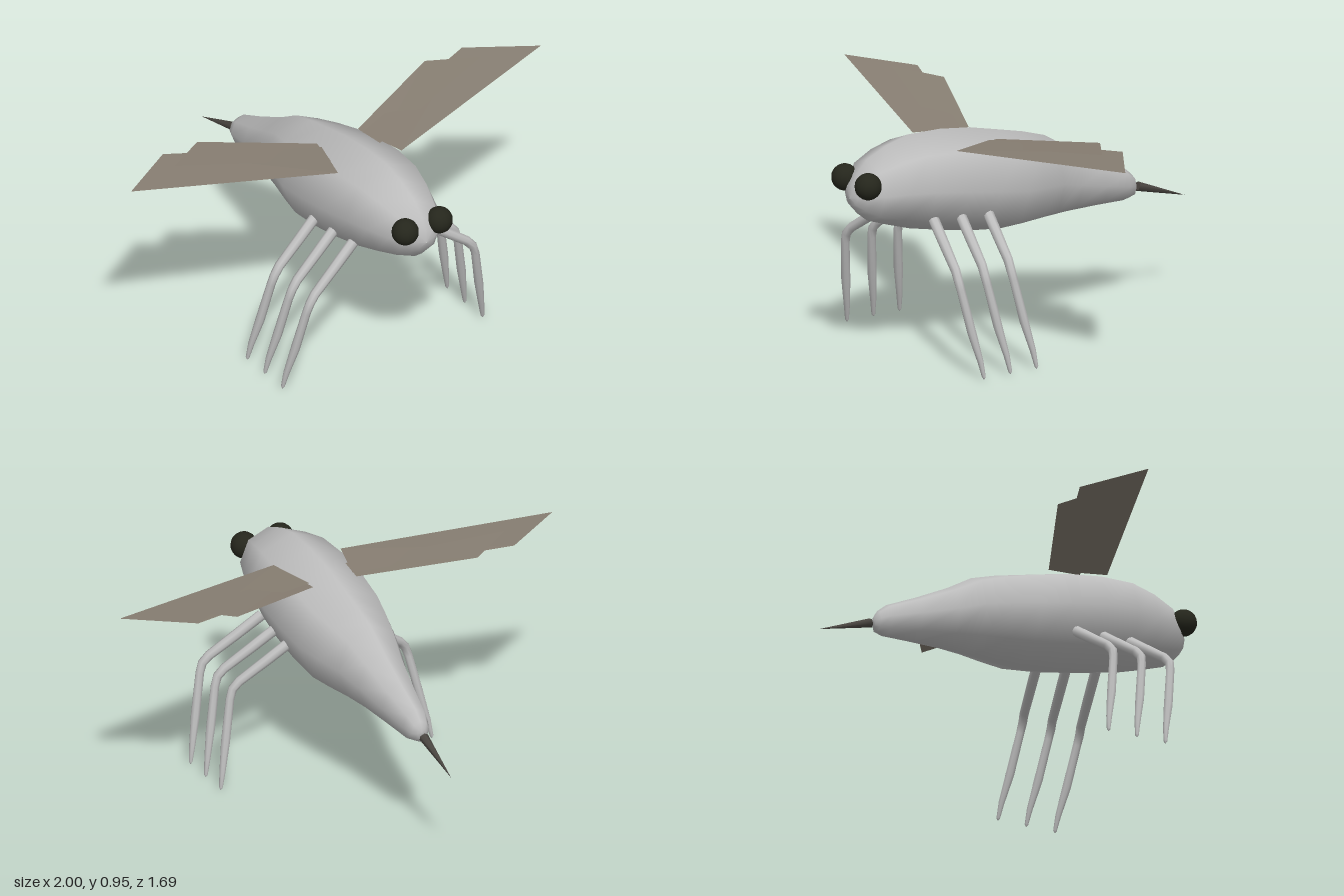
import * as THREE from 'three';

const V = (x, y, z) => new THREE.Vector3(x, y, z);
const mat = (name, color, side = THREE.FrontSide) => {
  const m = new THREE.MeshStandardMaterial({ color, side });
  m.name = name;
  return m;
};

// Smooth skin over a list of rings, each an array of points counter-clockwise about the direction of travel
function loft(rings) {
  const n = rings[0].length, index = [];
  for (let i = 0; i < rings.length - 1; i++) {
    for (let j = 0; j < n; j++) {
      const k = (j + 1) % n, a = i * n + j, b = i * n + k;
      index.push(a, b, a + n, b, b + n, a + n);
    }
  }
  const g = new THREE.BufferGeometry().setFromPoints(rings.flat());
  g.setIndex(index);
  g.computeVertexNormals();
  return g;
}

function ring(c, u, v, ru, rv, n) {
  return Array.from({ length: n }, (_, j) => {
    const a = (j / n) * Math.PI * 2;
    return c.clone().addScaledVector(u, Math.cos(a) * ru).addScaledVector(v, Math.sin(a) * rv);
  });
}

export function createModel() {
  const model = new THREE.Group();
  const bodyMat = mat('shellGrey', 0xbdbdbd);
  const wingMat = mat('wingTaupe', 0x877e72, THREE.DoubleSide);
  const eyeMat = mat('eyeBlack', 0x25261c);
  const stingMat = mat('stingerDark', 0x4b4742);
  const add = (name, geo, m) => {
    const mesh = new THREE.Mesh(geo, m);
    mesh.name = name;
    model.add(mesh);
    return mesh;
  };

  // Body, tail to nose: z, top, bottom, half width
  const sections = [
    [-0.588, 0.521, 0.519, 0.001], [-0.585, 0.545, 0.495, 0.02], [-0.572, 0.568, 0.474, 0.04],
    [-0.53, 0.605, 0.462, 0.058], [-0.4, 0.665, 0.465, 0.084], [-0.25, 0.742, 0.465, 0.115],
    [-0.14, 0.81, 0.46, 0.148], [-0.03, 0.845, 0.453, 0.182], [0.08, 0.872, 0.45, 0.212],
    [0.23, 0.908, 0.468, 0.222], [0.38, 0.928, 0.497, 0.22], [0.53, 0.932, 0.53, 0.2],
    [0.64, 0.905, 0.565, 0.17], [0.74, 0.862, 0.6, 0.13], [0.79, 0.81, 0.64, 0.085],
    [0.818, 0.765, 0.675, 0.045], [0.826, 0.711, 0.709, 0.001],
  ];
  add('body', loft(sections.map(([z, t, b, w]) =>
    ring(V(0, (t + b) / 2, z), V(1, 0, 0), V(0, 1, 0), w, (t - b) / 2, 8))), bodyMat);

  // Stinger
  const sting = add('stinger', new THREE.ConeGeometry(0.02, 0.25, 6), stingMat);
  sting.position.set(0, 0.47, -0.72);
  sting.quaternion.setFromUnitVectors(V(0, 1, 0), V(0, -0.08, -0.24).normalize());

  // Leg stations: x, y, z offset, radius
  const legPath = [
    [0.15, 0.6, 0, 0.001], [0.152, 0.599, 0, 0.023], [0.26, 0.523, 0.022, 0.022],
    [0.37, 0.447, 0.045, 0.02], [0.398, 0.415, 0.052, 0.019], [0.412, 0.375, 0.048, 0.018],
    [0.448, 0.2, 0.02, 0.019], [0.475, 0.08, -0.004, 0.013], [0.487, 0.014, -0.013, 0.008],
    [0.488, 0.003, -0.014, 0.001],
  ];

  for (const s of [1, -1]) {
    const side = s > 0 ? 'left' : 'right';

    // Eye
    add(side + 'Eye', new THREE.SphereGeometry(0.056, 16, 12), eyeMat).position.set(s * 0.083, 0.775, 0.793);

    // Three legs
    [0.513, 0.382, 0.252].forEach((z0, i) => {
      const pts = legPath.map(([x, y, z]) => V(s * x, y, z0 + z));
      const rings = pts.map((p, k) => {
        const t = pts[Math.min(k + 1, pts.length - 1)].clone().sub(pts[Math.max(k - 1, 0)]).normalize();
        const u = t.clone().cross(V(0, 0, 1)).normalize();
        const r = legPath[k][3];
        return ring(p, u, t.clone().cross(u), r, r, 8);
      });
      add(side + 'Leg' + (i + 1), loft(rings), bodyMat);
    });

    // Overlapping flat wings
    const wings = {
      ForeWing: [[0.155, 0.877, 0.405], [1, 0.952, 0.155], [0.73, 0.944, -0.02], [0.1, 0.874, 0.2]],
      HindWing: [[0.12, 0.868, 0.298], [0.75, 0.955, 0.095], [0.555, 0.936, -0.03], [0.1, 0.872, 0.165]],
    };
    for (const [name, corners] of Object.entries(wings)) {
      const p = corners.map(([x, y, z]) => V(s * x, y, z));
      const order = s > 0 ? [0, 1, 2, 0, 2, 3] : [0, 2, 1, 0, 3, 2];
      const g = new THREE.BufferGeometry().setFromPoints(order.map((i) => p[i]));
      g.computeVertexNormals();
      add(side + name, g, wingMat);
    }
  }
  return model;
}
